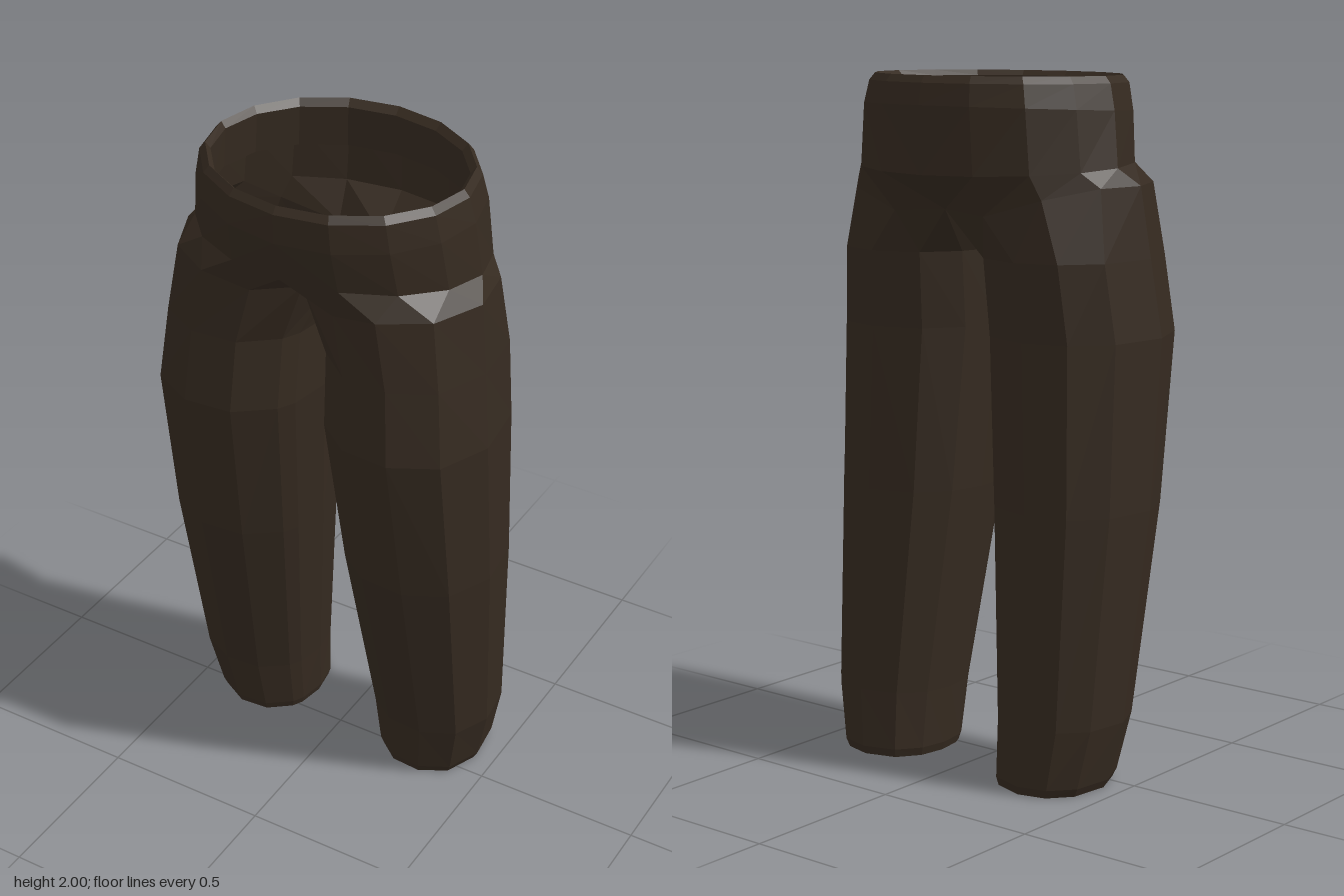
import * as THREE from 'three';

const material = new THREE.MeshStandardMaterial({
  color: 0x352a20, flatShading: true, side: THREE.DoubleSide,
});

// Skin a list of equally long cross-sections; mirror = true builds the -x side
function loft(name, rows, closed, mirror) {
  const n = rows[0].length;
  const pos = rows.flat().flatMap(([x, y, z]) => [mirror ? -x : x, y, z]);
  const index = [];
  for (let r = 0; r < rows.length - 1; r++) {
    for (let i = 0; i < (closed ? n : n - 1); i++) {
      const j = (i + 1) % n;
      const a = r * n + i, b = r * n + j, c = a + n, d = b + n;
      if (mirror) index.push(c, a, d, d, a, b);
      else index.push(c, d, a, d, b, a);
    }
  }
  const geo = new THREE.BufferGeometry();
  geo.setAttribute('position', new THREE.Float32BufferAttribute(pos, 3));
  geo.setIndex(index);
  geo.computeVertexNormals();
  const mesh = new THREE.Mesh(geo, material);
  mesh.name = name;
  return mesh;
}

// Half hip section from front centre round the side to back centre
function hipRow(yFront, yBack, w, zFront, zBack) {
  const row = [];
  for (let i = 0; i <= 8; i++) {
    const a = (i * Math.PI) / 8;
    const t = (1 - Math.cos(a)) / 2;
    row.push([
      w * Math.sin(a),
      yFront + (yBack - yFront) * t,
      zFront + (zBack - zFront) * t,
    ]);
  }
  return row;
}

// Leg section, given by its extents; the angles run front, outside, back, inside
const angles = [-52, -20, 10, 45, 82, 118, 150, 180, 215, 245, 270, 295];
const soft = (v) => Math.sign(v) * Math.abs(v) ** 0.9;
function legRow(y, xIn, xOut, zFront, zBack) {
  return angles.map((deg) => {
    const a = (deg * Math.PI) / 180;
    return [
      (xIn + xOut) / 2 + ((xOut - xIn) / 2) * soft(Math.sin(a)),
      y,
      (zFront + zBack) / 2 + ((zFront - zBack) / 2) * soft(Math.cos(a)),
    ];
  });
}

export function createModel() {
  const group = new THREE.Group();
  group.name = 'trousers';

  // Edge where hip and leg meet, front centre to back centre
  const legTop = [
    [0, 1.69, 0.2], [0.13, 1.67, 0.26], [0.27, 1.7, 0.28],
    [0.4, 1.7, 0.2], [0.465, 1.7, 0.05], [0.44, 1.7, -0.1],
    [0.33, 1.67, -0.22], [0.16, 1.62, -0.26], [0, 1.63, -0.23],
  ];
  // Seam between the legs, back to front
  const crotch = [[0, 1.59, -0.12], [0, 1.57, 0], [0, 1.61, 0.11]];

  // Inner lip, waist rim, belly and seat overhang
  const hip = [
    hipRow(1.86, 1.86, 0.37, 0.31, -0.3),
    hipRow(1.98, 1.98, 0.36, 0.31, -0.295),
    hipRow(1.995, 2.0, 0.375, 0.325, -0.315),
    hipRow(1.975, 1.98, 0.392, 0.34, -0.33),
    hipRow(1.89, 1.92, 0.41, 0.34, -0.34),
    hipRow(1.77, 1.73, 0.43, 0.315, -0.335),
    legTop,
  ];

  // Thigh to hem, then the hem turned inward
  const leg = [
    [...legTop, ...crotch],
    legRow(1.5, 0.024, 0.492, 0.29, -0.25),
    legRow(1.28, 0.028, 0.518, 0.312, -0.232),
    legRow(0.8, 0.06, 0.518, 0.235, -0.238),
    legRow(0.2, 0.118, 0.49, 0.118, -0.265),
    legRow(0.03, 0.128, 0.453, 0.087, -0.272),
    legRow(0.005, 0.136, 0.44, 0.078, -0.264),
    legRow(0.012, 0.15, 0.428, 0.066, -0.25),
    legRow(0.1, 0.145, 0.45, 0.085, -0.25),
  ];

  for (const [side, mirror] of [['left', false], ['right', true]]) {
    group.add(loft(side + 'Hip', hip, false, mirror));
    group.add(loft(side + 'Leg', leg, true, mirror));
  }
  return group;
}
